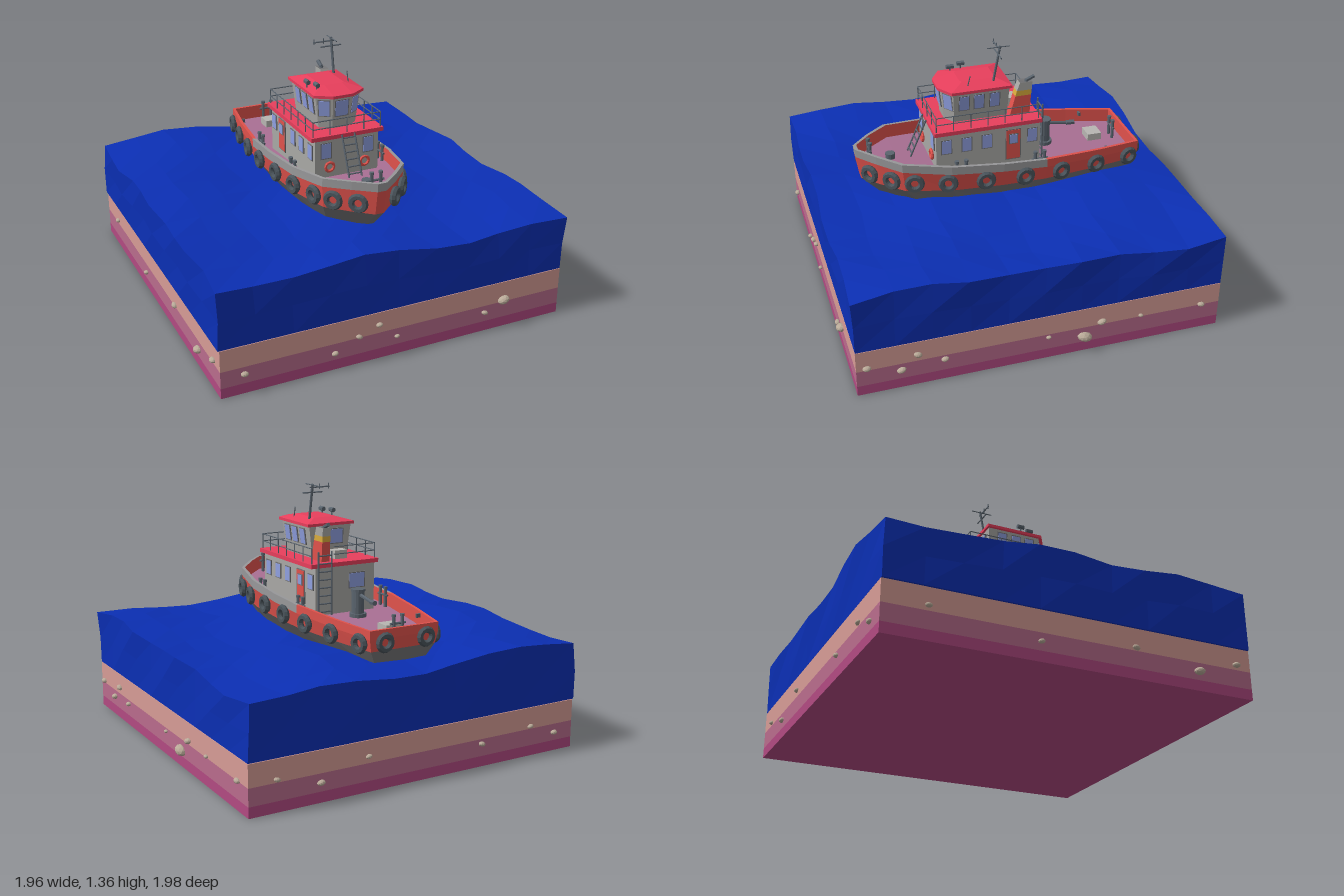
import * as THREE from 'three';

const C = { water: 0x0b2fb4, red: 0xe0524c, roof: 0xe83f5c, wall: 0xa9a8a5, rail: 0x98989a, keel: 0x737375,
  deck: 0xaa7094, steel: 0x5a646e, tire: 0x4a545b, glass: 0x8f9fe0, yellow: 0xd9ab3c, stone: 0xb9aa98, pale: 0xb8b6b2 };
const mats = {};
const mat = (c) => (mats[c] ??= new THREE.MeshStandardMaterial({ color: c, flatShading: true, side: THREE.DoubleSide }));

function add(parent, name, geo, color, x = 0, y = 0, z = 0) {
  const m = new THREE.Mesh(geo, mat(color));
  m.name = name;
  m.position.set(x, y, z);
  parent.add(m);
  return m;
}
const box = (p, name, c, w, h, d, x, y, z) => add(p, name, new THREE.BoxGeometry(w, h, d), c, x, y, z);
const cyl = (p, name, c, r, h, x, y, z, n = 8) => add(p, name, new THREE.CylinderGeometry(r, r, h, n), c, x, y, z);

// Round bar between two points
function bar(p, name, a, b, r = 0.004, c = C.steel) {
  const A = new THREE.Vector3(...a), B = new THREE.Vector3(...b), d = B.clone().sub(A);
  const m = add(p, name, new THREE.CylinderGeometry(r, r, d.length(), 6), c);
  m.position.copy(A).add(B).multiplyScalar(0.5);
  m.quaternion.setFromUnitVectors(new THREE.Vector3(0, 1, 0), d.normalize());
}

// Quads between an upper and a lower row of points
function band(a, b, keep = () => true, closed = true) {
  const pos = [], n = a.length;
  for (let i = 0; i < (closed ? n : n - 1); i++) {
    if (!keep(i)) continue;
    const j = (i + 1) % n;
    for (const v of [a[i], b[i], b[j], a[i], b[j], a[j]]) pos.push(...v);
  }
  const g = new THREE.BufferGeometry();
  g.setAttribute('position', new THREE.Float32BufferAttribute(pos, 3));
  g.computeVertexNormals();
  return g;
}
// Mirrors a starboard row (bow to stern) into a closed ring
const ring = (half) => [...half, ...half.map(([x, y, z]) => [-x, y, z]).reverse()];

// Window or panel facing yaw, leaning by tilt
function pane(p, name, x, y, z, w, h, yaw = 0, tilt = 0, c = C.glass, frame = C.keel) {
  const g = new THREE.Group();
  g.name = name;
  g.rotation.set(tilt, yaw, 0, 'YXZ');
  g.position.set(x, y, z);
  box(g, 'frame', frame, w + 0.01, h + 0.01, 0.008, 0, 0, 0);
  box(g, 'panel', c, w, h, 0.012, 0, 0, 0);
  p.add(g);
}

function ladder(p, name, x, w, a, b, n) {
  for (const s of [-1, 1]) bar(p, name + 'Rail', [x + s * w, ...a], [x + s * w, ...b], 0.005);
  for (let i = 0; i < n; i++) {
    const t = (i + 0.5) / n, y = a[0] + (b[0] - a[0]) * t, z = a[1] + (b[1] - a[1]) * t;
    bar(p, name + 'Rung', [x - w, y, z], [x + w, y, z]);
  }
}

// Pair of mooring posts with a cross bar
function bollard(p, x, y, z, along) {
  const g = new THREE.Group();
  g.name = 'bollard';
  g.position.set(x, y, z);
  g.rotation.y = along ? Math.PI / 2 : 0;
  for (const s of [-0.025, 0.025]) {
    cyl(g, 'post', C.steel, 0.009, 0.105, s, 0.052, 0);
    cyl(g, 'postCap', C.steel, 0.012, 0.012, s, 0.105, 0);
  }
  bar(g, 'crossBar', [-0.045, 0.065, 0], [0.045, 0.065, 0], 0.006);
  p.add(g);
}

function buildSea(root) {
  const g = new THREE.Group();
  g.name = 'sea';
  // Seabed layers
  for (const [y0, y1, c] of [[0, 0.055, 0xb24a82], [0.055, 0.145, 0xb96c8c], [0.145, 0.26, 0xd79c96]])
    box(g, 'seabedLayer', c, 1.895, y1 - y0, 1.925, -0.002, (y0 + y1) / 2, -0.01);
  // Water block with a choppy top and uneven sides
  const geo = new THREE.BoxGeometry(1.89, 0.3, 1.915, 10, 2, 10);
  const P = geo.attributes.position;
  for (let i = 0; i < P.count; i++) {
    const x = P.getX(i), y = P.getY(i), z = P.getZ(i), t = (y + 0.15) / 0.3;
    const wave = 0.018 * Math.sin(x * 6.3 + z * 2.2 + 0.6) + 0.014 * Math.sin(z * 7.1 - x * 3.1) - 0.008 * x;
    const k = 0.012 * t * Math.sin(x * 9 + z * 11 + y * 8);
    P.setXYZ(i, x + (Math.abs(x) > 0.94 ? Math.sign(x) * 0.006 + k : k), y + t * wave,
      z + (Math.abs(z) > 0.95 ? Math.sign(z) * 0.004 + k * 0.8 : k));
  }
  add(g, 'water', geo, C.water, -0.006, 0.412, -0.01);
  // Stones along each side: position along the side, height, size
  const sides = [
    [0, [[-0.83, 0.11, 0.02], [-0.36, 0.095, 0.018], [-0.23, 0.155, 0.018], [-0.12, 0.195, 0.018], [-0.02, 0.105, 0.014], [0.49, 0.11, 0.018], [0.6, 0.16, 0.033]]],
    [1, [[-0.9, 0.16, 0.022], [-0.73, 0.11, 0.024], [-0.645, 0.185, 0.022], [-0.51, 0.125, 0.02], [0.03, 0.13, 0.014], [0.225, 0.09, 0.04], [0.315, 0.165, 0.024], [0.53, 0.155, 0.014], [0.87, 0.15, 0.02]]],
    [2, [[0.83, 0.1, 0.02], [0.67, 0.16, 0.018], [0.36, 0.12, 0.02], [-0.31, 0.18, 0.018], [-0.57, 0.1, 0.022], [-0.8, 0.16, 0.018]]],
    [3, [[-0.75, 0.17, 0.018], [-0.2, 0.1, 0.018], [0.3, 0.16, 0.02], [0.65, 0.1, 0.03], [0.87, 0.17, 0.022]]]];
  for (const [side, list] of sides) {
    const s = new THREE.Group();
    s.name = 'stones';
    s.rotation.y = side * Math.PI / 2;
    list.forEach(([x, y, r], i) => {
      const m = add(s, 'stone', new THREE.IcosahedronGeometry(r, 1), C.stone, x, y, [0.96, 0.95, 0.975, 0.955][side]);
      m.scale.set(1, 0.65, 0.8);
      m.rotation.z = Math.sin(i * 2.3) * 0.3;
    });
    g.add(s);
  }
  root.add(g);
}

function buildHull(boat) {
  // Starboard stations from bow to stern: half width, top height, z
  const S = [[0.025, 0.84, 0.735], [0.125, 0.835, 0.645], [0.23, 0.825, 0.53], [0.285, 0.8, 0.28],
    [0.3, 0.78, 0], [0.295, 0.765, -0.24], [0.25, 0.748, -0.55], [0.2, 0.735, -0.8]];
  const level = (fx, fz, fy, aft = 1) => S.map(([x, y, z]) => [x * fx, fy(y), z * (z > 0 ? fz : aft)]);
  const top = ring(S), mid = ring(level(1, 0.995, (y) => y - 0.045));
  const low = ring(level(0.94, 0.965, (y) => 0.35 * y + 0.37, 0.99)), keel = ring(level(0.6, 0.75, () => 0.5, 0.93));
  const inTop = ring(level(0.94, 0.975, (y) => y, 0.98)), deckHalf = level(0.94, 0.97, (y) => y - 0.075, 0.98);
  const fore = (i) => i < 5 || i > 9, aft = (i) => !fore(i);
  add(boat, 'lowerHull', band(low, keel), C.keel);
  add(boat, 'hullBand', band(mid, low), C.red);
  for (const [f, c, n] of [[fore, C.rail, 'foreBulwark'], [aft, C.red, 'aftBulwark']]) {
    add(boat, n, band(top, mid, f), c);
    add(boat, n + 'Cap', band(inTop, top, f), c);
  }
  add(boat, 'innerBulwark', band(ring(deckHalf), inTop), C.red);
  add(boat, 'mainDeck', band(deckHalf.map(([x, y, z]) => [-x, y, z]), deckHalf, undefined, false), C.deck);

  // Tire fenders follow the hull outline
  const tire = (x, y, z, yaw) => {
    const t = add(boat, 'tireFender', new THREE.TorusGeometry(0.036, 0.017, 6, 14), C.tire, x, y, z);
    t.rotation.y = yaw;
  };
  for (const z of [0.67, 0.575, 0.47, 0.3, 0.1, -0.115, -0.32, -0.53, -0.735]) {
    const i = S.findIndex((p, k) => k < 7 && z <= p[2] && z >= S[k + 1][2]);
    const [a, b] = [S[i], S[i + 1]], t = (a[2] - z) / (a[2] - b[2]);
    const x = a[0] + (b[0] - a[0]) * t, yaw = Math.atan2(a[2] - b[2], b[0] - a[0]);
    for (const s of [-1, 1]) tire(s * (x + 0.01 * Math.sin(yaw)), 0.697 + z * 0.045, z + 0.01 * Math.cos(yaw), s * yaw);
  }
  for (const s of [-1, 1]) tire(s * 0.12, 0.672, -0.812, 0);
}

function buildCabin(boat) {
  const g = new THREE.Group();
  g.name = 'cabin';
  box(g, 'lowerCabin', C.wall, 0.36, 0.27, 0.57, 0, 0.81, 0.05);
  box(g, 'upperDeck', C.roof, 0.41, 0.022, 0.585, 0, 0.953, 0.055);
  for (const s of [-1, 1]) {
    for (const z of [0.28, 0.17, 0.06, -0.19]) pane(g, 'sideWindow', s * 0.181, 0.865, z, 0.05, 0.075, s * Math.PI / 2);
    pane(g, 'door', s * 0.181, 0.825, -0.085, 0.075, 0.17, s * Math.PI / 2, 0, C.red);
    pane(g, 'doorWindow', s * 0.186, 0.86, -0.085, 0.04, 0.05, s * Math.PI / 2);
    pane(g, 'frontWindow', s * 0.12, 0.88, 0.336, 0.055, 0.08);
    add(g, 'lifeRing', new THREE.TorusGeometry(0.024, 0.008, 6, 12), C.red, s * 0.1, 0.79, 0.342);
  }
  pane(g, 'rearWindow', -0.07, 0.86, -0.236, 0.09, 0.075);
  ladder(g, 'frontLadder', 0, 0.036, [0.755, 0.44], [0.96, 0.35], 6);
  ladder(g, 'rearLadder', 0.13, 0.04, [0.69, -0.25], [1.03, -0.25], 8);

  // Wheelhouse with a chamfered front and walls flaring upward
  const lo = ring([[0.045, 0.96, 0.255], [0.105, 0.96, 0.215], [0.105, 0.96, -0.072]]);
  const hi = ring([[0.05, 1.14, 0.275], [0.128, 1.14, 0.225], [0.128, 1.14, -0.08]]);
  add(g, 'wheelhouse', band(hi, lo), C.wall);
  const eave = (y) => ring([[0.055, y, 0.29], [0.142, y, 0.235], [0.142, y, -0.092]]);
  const crown = ring([[0.05, 1.172, 0.17], [0.065, 1.172, 0.16], [0.065, 1.172, -0.02]]);
  add(g, 'roofEdge', band(eave(1.15), eave(1.135)), C.roof);
  add(g, 'roofUnderside', band(eave(1.135), eave(1.135).map(() => [0, 1.135, 0.08])), C.roof);
  add(g, 'roofSlope', band(crown, eave(1.15)), C.roof);
  add(g, 'roofTop', band(crown.map(() => [0, 1.172, 0.07]), crown), C.roof);
  pane(g, 'wheelhouseWindow', 0, 1.075, 0.269, 0.07, 0.085, 0, 0.11);
  pane(g, 'wheelhouseRearWindow', 0, 1.075, -0.078, 0.15, 0.075, Math.PI, 0.04);
  for (const s of [-1, 1]) {
    pane(g, 'wheelhouseWindow', s * 0.085, 1.075, 0.241, 0.055, 0.085, s * 0.58, 0.13);
    for (const z of [0.165, 0.085, 0]) pane(g, 'wheelhouseSideWindow', s * 0.121, 1.075, z, 0.05, 0.08, s * Math.PI / 2, 0.13);
  }

  // Upper deck railing
  const corners = [[-0.192, -0.22], [-0.192, 0.335], [0.192, 0.335], [0.192, -0.22]];
  for (let k = 0; k < 3; k++) {
    const [x0, z0] = corners[k], [x1, z1] = corners[k + 1], n = k === 1 ? 4 : 6;
    for (const y of [1.005, 1.045]) bar(g, 'handrail', [x0, y, z0], [x1, y, z1], 0.003);
    for (let i = 0; i <= n; i++) {
      const x = x0 + (x1 - x0) * i / n, z = z0 + (z1 - z0) * i / n;
      bar(g, 'railPost', [x, 0.96, z], [x, 1.045, z], 0.003);
    }
  }
  for (const y of [1.005, 1.045]) bar(g, 'handrail', [-0.192, y, -0.22], [0.06, y, -0.22], 0.003);

  // Raked funnel: height, front z, rear z
  const F = [[0.96, -0.085, -0.195], [1.07, -0.115, -0.202], [1.1, -0.123, -0.205], [1.145, -0.14, -0.208]];
  const fr = F.map(([y, f, r]) => ring([[0.024, y, f], [0.024, y, r]]).map(([x, b, z]) => [x + 0.095, b, z]));
  [C.red, C.yellow, C.wall].forEach((c, i) => add(g, 'funnel', band(fr[i + 1], fr[i]), c));
  add(g, 'funnelTop', band(fr[3].map(() => [0.095, 1.14, -0.175]), fr[3]), C.keel);
  bar(g, 'exhaustPipe', [0.095, 1.1, -0.18], [0.095, 1.15, -0.185], 0.012);
  bar(g, 'exhaustPipe', [0.095, 1.145, -0.18], [0.095, 1.165, -0.225], 0.011);
  box(g, 'ventBox', C.pale, 0.075, 0.05, 0.055, -0.022, 0.985, -0.13);

  // Mast, aerials and searchlights
  bar(g, 'mast', [0.085, 1.14, 0], [0.085, 1.355, -0.04], 0.007);
  bar(g, 'mastArm', [-0.02, 1.337, -0.036], [0.1, 1.337, -0.036]);
  bar(g, 'mastArm', [0.02, 1.31, -0.03], [0.14, 1.31, -0.03]);
  bar(g, 'mastArm', [0.085, 1.35, -0.09], [0.085, 1.35, 0.03], 0.003);
  for (const x of [-0.015, 0.04]) bar(g, 'mastWire', [x, 1.325, -0.036], [x, 1.355, -0.036], 0.003);
  bar(g, 'aerial', [0.1, 1.155, 0.14], [0.1, 1.215, 0.125], 0.003);
  for (const [x, z] of [[-0.1, 0.18], [-0.125, 0.115]]) {
    bar(g, 'searchlightStem', [x, 1.14, z], [x, 1.185, z]);
    bar(g, 'searchlight', [x, 1.185, z - 0.02], [x, 1.185, z + 0.02], 0.013);
  }
  boat.add(g);
}

function buildDeckGear(boat) {
  for (const s of [-1, 1]) {
    bollard(boat, s * 0.255, 0.705, 0.22, true);
    bollard(boat, s * 0.255, 0.69, -0.21, true);
    box(boat, 'cleat', C.steel, 0.035, 0.02, 0.012, s * 0.215, 0.725, -0.61);
  }
  bollard(boat, 0.005, 0.76, 0.655, false);
  bollard(boat, -0.01, 0.67, -0.725, false);
  cyl(boat, 'foreHatch', C.steel, 0.026, 0.035, 0.01, 0.765, 0.545, 12);
  box(boat, 'aftHatch', C.pale, 0.09, 0.04, 0.08, -0.03, 0.69, -0.62);
  box(boat, 'locker', C.pale, 0.04, 0.03, 0.02, 0.16, 0.68, -0.745);
  // Deck cannon on a pedestal
  cyl(boat, 'cannonBase', C.steel, 0.045, 0.02, -0.022, 0.695, -0.33, 14);
  cyl(boat, 'cannonPedestal', C.steel, 0.033, 0.13, -0.022, 0.765, -0.33, 14);
  cyl(boat, 'cannonCap', C.steel, 0.038, 0.012, -0.022, 0.827, -0.33, 14);
  bar(boat, 'cannonBarrel', [-0.022, 0.805, -0.35], [-0.022, 0.785, -0.47], 0.01);
  bar(boat, 'cannonNozzle', [-0.022, 0.787, -0.46], [-0.015, 0.79, -0.505], 0.014);
}

export function createModel() {
  const root = new THREE.Group();
  root.name = 'harborTugScene';
  const boat = new THREE.Group();
  boat.name = 'tugboat';
  buildSea(root);
  buildHull(boat);
  buildCabin(boat);
  buildDeckGear(boat);
  root.add(boat);
  return root;
}
